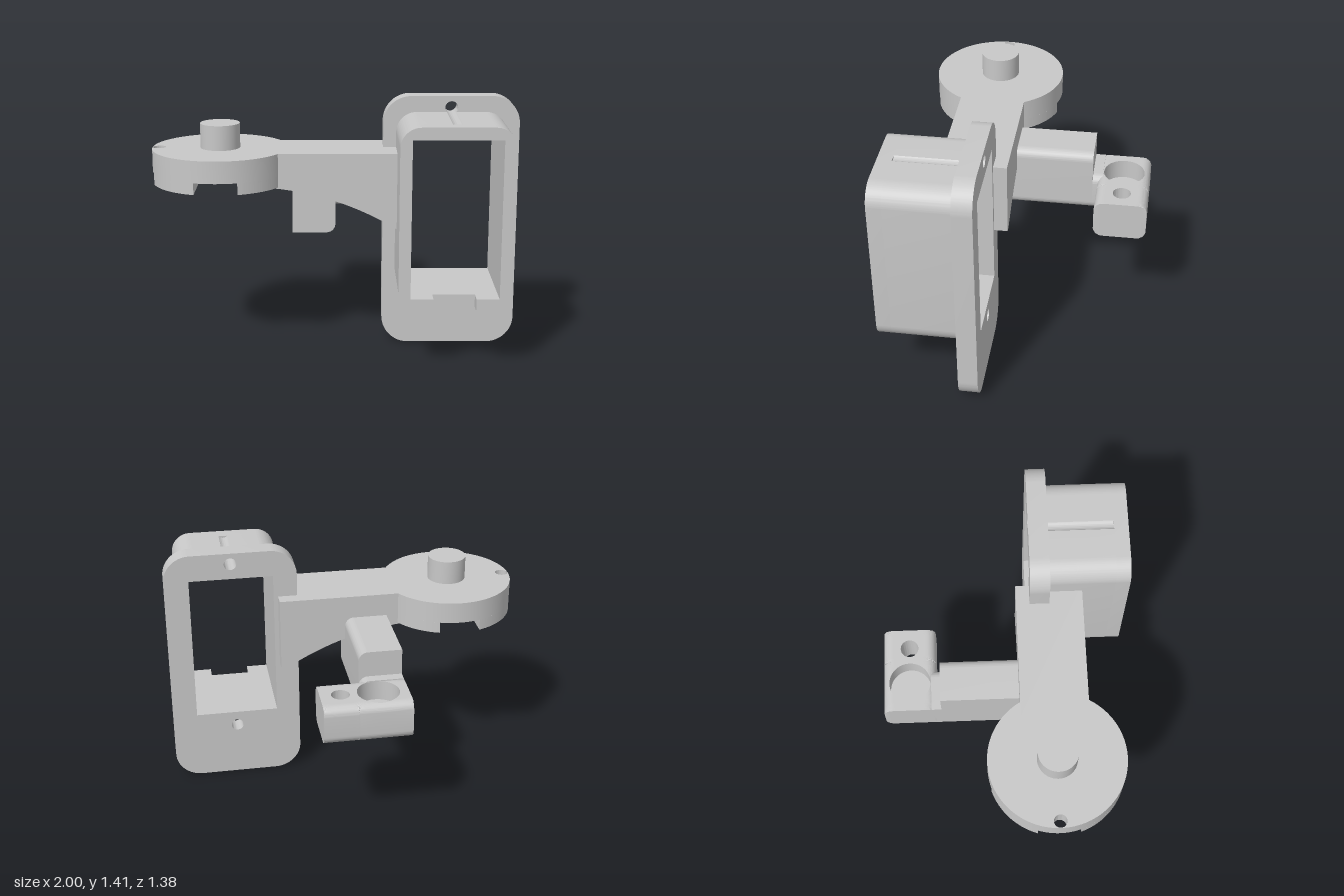
import * as THREE from 'three';
import { toCreasedNormals } from 'three/addons/utils/BufferGeometryUtils.js';

const grey = new THREE.MeshStandardMaterial({ color: 0xc8c8c8 });
grey.name = 'plain grey';

function part(name, geometry) {
  const mesh = new THREE.Mesh(toCreasedNormals(geometry, 0.5), grey);
  mesh.name = name;
  return mesh;
}

// Extrude an x-y outline from z0 to z1
function slab(shape, z0, z1, curveSegments = 16) {
  const g = new THREE.ExtrudeGeometry(shape, { depth: z1 - z0, bevelEnabled: false, curveSegments });
  return g.translate(0, 0, z0);
}

// Extrude an outline drawn in (x, -z) from y0 up to y1
function raised(shape, y0, y1) {
  return slab(shape, y0, y1, 64).rotateX(-Math.PI / 2);
}

function circle(x, y, r) {
  return new THREE.Path().absarc(x, y, r, 0, Math.PI * 2, false);
}

function rect(x0, y0, x1, y1) {
  return new THREE.Path([[x0, y0], [x1, y0], [x1, y1], [x0, y1]].map(p => new THREE.Vector2(...p)));
}

// Right, top and left sides of a rounded rectangle, run anticlockwise
function roundSides(s, x0, y0, x1, y1, r, midTop) {
  s.absarc(x1 - r, y0 + r, r, -Math.PI / 2, 0, false);
  s.absarc(x1 - r, y1 - r, r, 0, Math.PI / 2, false);
  if (midTop) midTop(s);
  s.absarc(x0 + r, y1 - r, r, Math.PI / 2, Math.PI, false);
  s.absarc(x0 + r, y0 + r, r, Math.PI, Math.PI * 1.5, false);
  return s;
}

// Box cell with edges rounded along x and a vertical hole, swept around the hole
function holedCell({ x0, x1, z0, z1, y0, y1, round, cx, r, floor }) {
  const cz = (z0 + z1) / 2, half = (z1 - z0) / 2, rings = 14;
  const inset = z => {
    const d = Math.max(0, Math.abs(z - cz) - (half - round));
    return round - Math.sqrt(Math.max(0, round * round - d * d));
  };
  const angles = [];
  for (let i = 0; i < 72; i++) angles.push((i / 72) * Math.PI * 2);
  for (const x of [x0, x1]) for (const z of [-half, half]) {
    angles.push((Math.atan2(z, x - cx) + Math.PI * 2) % (Math.PI * 2));
  }
  angles.sort((a, b) => a - b);
  const pos = [], index = [];
  let rows = 0;
  for (const a of angles) {
    const c = Math.cos(a), s = Math.sin(a);
    const edge = Math.min(
      Math.abs(c) > 1e-6 ? (c > 0 ? x1 - cx : cx - x0) / Math.abs(c) : 9,
      Math.abs(s) > 1e-6 ? half / Math.abs(s) : 9);
    const column = [];
    const add = (d, y) => column.push([cx + d * c, y, cz + d * s]);
    if (floor !== undefined) add(0, floor);
    add(r, floor !== undefined ? floor : y0 + inset(cz + r * s));
    const out = k => r + (edge - r) * Math.sin((k / rings) * Math.PI / 2);
    for (let k = 0; k <= rings; k++) add(out(k), y1 - inset(cz + out(k) * s));
    for (let k = rings; k >= 0; k--) add(out(k), y0 + inset(cz + out(k) * s));
    // A blind pocket has a full underside
    if (floor !== undefined) add(0, y0);
    rows = column.length;
    pos.push(...column.flat());
  }
  const n = angles.length;
  for (let i = 0; i < n; i++) for (let j = 0; j < rows - 1; j++) {
    const a = i * rows + j, b = ((i + 1) % n) * rows + j;
    index.push(a, b, a + 1, b, b + 1, a + 1);
  }
  const g = new THREE.BufferGeometry();
  g.setAttribute('position', new THREE.Float32BufferAttribute(pos, 3));
  g.setIndex(index);
  return g;
}

export function createModel() {
  const model = new THREE.Group();
  const midX = 0.628, holeR = 0.035, topHole = 1.347, lowHole = 0.318;
  const opening = () => rect(0.392, 0.404, 0.862, 1.258);

  // Mounting plate with opening and two screw holes
  const plate = new THREE.Shape();
  roundSides(plate, 0.258, 0, 1, 1.41, 0.15);
  plate.holes.push(opening(), circle(midX, topHole, holeR), circle(midX, lowHole, holeR));
  model.add(part('mountingPlate', slab(plate, 0.137, 0.245)));

  // Shroud, with shallow screw grooves above and below
  const y0 = 0.338, y1 = 1.323;
  const box = [0.328, y0, 0.927, y1, 0.11];
  const ta = Math.asin((topHole - y1) / holeR), ba = Math.asin((y0 - lowHole) / holeR);
  const shroud = new THREE.Shape();
  shroud.absarc(midX, lowHole, holeR, Math.PI - ba, ba, true);
  roundSides(shroud, ...box, s => s.absarc(midX, topHole, holeR, -ta, -Math.PI + ta, true));
  shroud.holes.push(opening());
  model.add(part('shroud', slab(shroud, 0.245, 0.61)));

  // Shroud rim, notched at the bottom
  const rim = new THREE.Shape();
  roundSides(rim, ...box);
  for (const [x, y] of [[0.513, y0], [0.513, 0.404], [0.392, 0.404], [0.392, 1.258],
    [0.862, 1.258], [0.862, 0.404], [0.74, 0.404], [0.74, y0]]) {
    rim.lineTo(x, y);
  }
  model.add(part('shroudRim', slab(rim, 0.61, 0.69)));

  // Arm with arched underside
  const arm = new THREE.Shape();
  arm.moveTo(-0.39, 0.947);
  arm.quadraticCurveTo(0, 0.92, 0.335, 0.71);
  arm.lineTo(0.367, 0.71);
  arm.lineTo(0.367, 1.13);
  arm.lineTo(-0.39, 1.13);
  model.add(part('arm', slab(arm, 0.062, 0.43)));

  // Round head with an edge hole, a pin and four pads underneath
  const head = new THREE.Group();
  head.name = 'roundHead';
  head.position.set(-0.63, 0, 0.245);
  const R = 0.37, h = 0.115;
  const disc = new THREE.Shape().absarc(0, 0, R, 0, Math.PI * 2, false);
  disc.holes.push(circle(-0.333, 0, holeR));
  head.add(part('disc', raised(disc, 1.01, 1.13)));
  head.add(part('pin', new THREE.CylinderGeometry(0.108, 0.108, 0.145, 48).translate(0, 1.1925, 0)));
  const start = Math.asin(h / R);
  const pad = new THREE.Shape();
  pad.absarc(0, 0, R, start, Math.PI / 2 - start, false);
  pad.lineTo(h, h);
  for (let i = 0; i < 4; i++) {
    const mesh = part('pad', raised(pad, 0.947, 1.01));
    mesh.rotation.y = i * Math.PI / 2;
    head.add(mesh);
  }
  model.add(head);

  // Rear beam, rounded on its left edges, with a low step at the end
  const beam = top => {
    const s = new THREE.Shape(), r = 0.05;
    s.absarc(-0.003 - r, 0.632 + r, r, -Math.PI / 2, 0, false);
    s.absarc(-0.003 - r, top - r, r, 0, Math.PI / 2, false);
    s.lineTo(-0.242, top);
    s.lineTo(-0.242, 0.632);
    return s;
  };
  model.add(part('rearBeam', slab(beam(1.0), -0.37, 0.2)));
  model.add(part('beamStep', slab(beam(0.853), -0.425, -0.37)));

  // End block with a round pocket and a through hole
  const block = { z0: -0.69, z1: -0.397, y0: 0.632, y1: 0.853, round: 0.05 };
  model.add(part('pocketBlock', holedCell({ ...block, x0: -0.242, x1: 0.05, cx: -0.078, r: 0.115, floor: 0.74 })));
  model.add(part('holeBlock', holedCell({ ...block, x0: 0.05, x1: 0.238, cx: 0.127, r: 0.05 })));
  return model;
}
